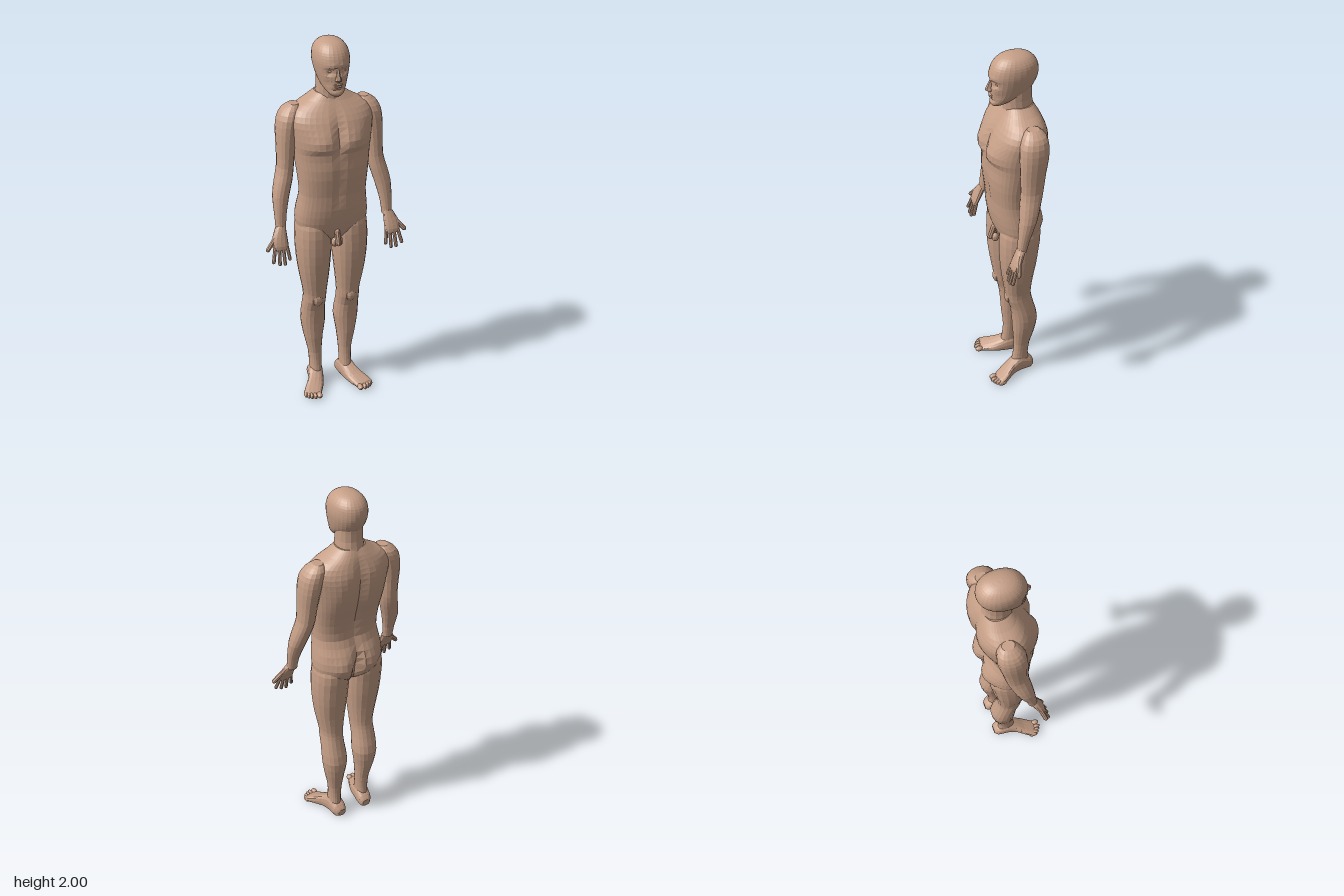
import * as THREE from 'three';

const skin = new THREE.MeshStandardMaterial({ color: 0xc69f87, flatShading: true });
skin.name = 'skin';

const bump = (d, w) => Math.exp(-(d * d) / (w * w));
const spow = (v, p) => Math.sign(v) * Math.pow(Math.abs(v), p);

// Smooth interpolation of the cross-section table
function resample(rows, steps) {
  const out = [];
  const at = i => rows[Math.max(0, Math.min(rows.length - 1, i))];
  for (let i = 0; i < rows.length - 1; i++) {
    for (let s = 0; s < steps; s++) {
      const t = s / steps;
      out.push(rows[i].map((b, k) => {
        const a = at(i - 1)[k], c = at(i + 1)[k], d = at(i + 2)[k];
        return b + 0.5 * t * (c - a + t * (2 * a - 5 * b + 4 * c - d + t * (3 * (b - c) + d - a)));
      }));
    }
  }
  out.push(rows[rows.length - 1]);
  return out;
}

// Closed body from rows [y, centre x, half width, front z, back z], bottom to top
function loft(rows, { side = 1, n = 16, steps = 2, power = 2.2, shape } = {}) {
  const rings = resample(rows, steps), pos = [], idx = [];
  for (const [y, cx, rx, zf, zb] of rings) {
    for (let j = 0; j < n; j++) {
      const a = (j / n) * Math.PI * 2;
      const p = new THREE.Vector3(
        side * cx + rx * spow(Math.cos(a), 2 / power), y,
        (zf + zb) / 2 + ((zf - zb) / 2) * spow(Math.sin(a), 2 / power));
      if (shape) shape(p, Math.sin(a));
      pos.push(p.x, p.y, p.z);
    }
  }
  for (let i = 0; i < rings.length - 1; i++) {
    for (let j = 0; j < n; j++) {
      const a = i * n + j, b = i * n + (j + 1) % n;
      idx.push(a, a + n, b, b, a + n, b + n);
    }
  }
  // End caps
  const top = (rings.length - 1) * n, c = rings.length * n;
  for (const r of [rings[0], rings[rings.length - 1]]) pos.push(side * r[1], r[0], (r[3] + r[4]) / 2);
  for (let j = 0; j < n; j++) {
    const k = (j + 1) % n;
    idx.push(c, j, k, c + 1, top + k, top + j);
  }
  const g = new THREE.BufferGeometry();
  g.setAttribute('position', new THREE.Float32BufferAttribute(pos, 3));
  g.setIndex(idx);
  g.computeVertexNormals();
  return g;
}

function add(parent, name, geometry) {
  const m = new THREE.Mesh(geometry, skin);
  m.name = name;
  parent.add(m);
  return m;
}

function ball(parent, name, p, r) {
  const m = add(parent, name, new THREE.SphereGeometry(1, 10, 8));
  m.position.set(...p);
  m.scale.set(...r);
  return m;
}

// Rounded rod between two points
function rod(parent, name, a, b, r) {
  const A = new THREE.Vector3(...a), B = new THREE.Vector3(...b), d = B.clone().sub(A);
  const m = add(parent, name, new THREE.CapsuleGeometry(r, d.length(), 3, 8));
  m.position.copy(A).add(B).multiplyScalar(0.5);
  m.quaternion.setFromUnitVectors(new THREE.Vector3(0, 1, 0), d.normalize());
  return m;
}

// Chest, belly, spine and seat relief
function torsoShape(p, s) {
  const x = Math.abs(p.x), y = p.y;
  if (s > 0.05) {
    p.z += 0.016 * bump(x - 0.085, 0.07) * bump(y - 1.5, 0.055);
    p.z -= 0.012 * bump(x - 0.09, 0.09) * bump(y - 1.425, 0.025);
    p.z -= 0.016 * bump(x, 0.02) * bump(y - 1.53, 0.1);
    p.z -= 0.006 * bump(x, 0.02) * bump(y - 1.25, 0.12);
  } else if (s < -0.05) {
    p.z += 0.022 * bump(x, 0.03) * bump(y - 1.42, 0.23);
    p.z -= 0.008 * bump(x - 0.1, 0.06) * bump(y - 1.55, 0.1);
    p.z -= 0.022 * bump(x - 0.085, 0.06) * bump(y - 1.045, 0.07);
    p.z += 0.035 * bump(x, 0.02) * bump(y - 1.02, 0.08);
  }
}

// Eye sockets, brow, cheeks and mouth
function faceShape(p, s) {
  if (s < 0.2) return;
  const x = Math.abs(p.x), y = p.y;
  p.z -= 0.016 * bump(x - 0.034, 0.02) * bump(y - 1.862, 0.016);
  p.z += 0.005 * bump(x - 0.03, 0.03) * bump(y - 1.888, 0.012);
  p.z -= 0.008 * bump(x - 0.05, 0.02) * bump(y - 1.795, 0.025);
  p.z -= 0.007 * bump(x, 0.04) * bump(y - 1.768, 0.01);
}

export function createModel() {
  const body = new THREE.Group();
  body.name = 'body';

  add(body, 'torso', loft([
    [0.91, 0, 0.04, 0.03, -0.05], [0.935, 0, 0.11, 0.06, -0.09], [0.97, 0, 0.175, 0.08, -0.12],
    [1.04, 0, 0.193, 0.1, -0.138], [1.12, 0, 0.186, 0.112, -0.13], [1.2, 0, 0.176, 0.116, -0.102],
    [1.3, 0, 0.184, 0.128, -0.115], [1.4, 0, 0.195, 0.132, -0.145], [1.47, 0, 0.203, 0.135, -0.16],
    [1.54, 0, 0.212, 0.122, -0.165], [1.6, 0, 0.218, 0.1, -0.163], [1.65, 0, 0.192, 0.068, -0.15],
    [1.69, 0, 0.125, 0.04, -0.135], [1.725, 0, 0.075, 0.02, -0.115]],
  { n: 40, power: 2.4, shape: torsoShape }));

  add(body, 'neck', loft([
    [1.62, 0, 0.09, 0.05, -0.13], [1.7, 0, 0.074, 0.034, -0.122],
    [1.76, 0, 0.067, 0.035, -0.11], [1.84, 0, 0.066, 0.03, -0.11]]));

  const head = new THREE.Group();
  head.name = 'head';
  body.add(head);
  add(head, 'skull', loft([
    [1.733, 0, 0.022, 0.09, 0.045], [1.748, 0, 0.04, 0.101, 0.01], [1.78, 0, 0.062, 0.1, -0.05],
    [1.82, 0, 0.076, 0.1, -0.108], [1.87, 0, 0.087, 0.101, -0.136], [1.91, 0, 0.09, 0.1, -0.142],
    [1.95, 0, 0.083, 0.084, -0.134], [1.98, 0, 0.062, 0.055, -0.108], [1.995, 0, 0.035, 0.02, -0.075],
    [2.0, 0, 0.012, -0.01, -0.04]],
  { n: 28, steps: 3, shape: faceShape }));
  add(head, 'nose', loft([
    [1.813, 0, 0.01, 0.108, 0.08], [1.82, 0, 0.018, 0.122, 0.08],
    [1.832, 0, 0.012, 0.125, 0.08], [1.875, 0, 0.007, 0.102, 0.08]], { n: 8, power: 2 }));
  ball(head, 'upperLip', [0, 1.796, 0.098], [0.024, 0.005, 0.01]);
  ball(head, 'lowerLip', [0, 1.785, 0.098], [0.019, 0.005, 0.009]);

  for (const side of [1, -1]) {
    const label = side > 0 ? 'left' : 'right';
    ball(head, label + 'Eye', [side * 0.034, 1.862, 0.073], [0.014, 0.008, 0.012]);

    const arm = new THREE.Group();
    arm.name = label + 'Arm';
    body.add(arm);
    add(arm, label + 'ArmLimb', loft([
      [1.03, 0.29, 0.027, 0.067, 0.017], [1.1, 0.288, 0.031, 0.06, 0], [1.2, 0.277, 0.043, 0.05, -0.04],
      [1.28, 0.257, 0.046, 0.04, -0.066], [1.35, 0.242, 0.043, 0.03, -0.085], [1.45, 0.235, 0.047, 0.03, -0.1],
      [1.53, 0.229, 0.053, 0.03, -0.115], [1.6, 0.216, 0.058, 0.025, -0.12], [1.645, 0.2, 0.05, 0.005, -0.112],
      [1.672, 0.185, 0.025, -0.02, -0.085]], { side }));

    // Hand with the palm forward and thumb outward
    const hand = new THREE.Group();
    hand.name = label + 'Hand';
    arm.add(hand);
    add(hand, 'palm', loft([
      [0.932, 0.302, 0.036, 0.104, 0.082], [0.955, 0.307, 0.043, 0.103, 0.07],
      [1.0, 0.304, 0.039, 0.088, 0.045], [1.05, 0.291, 0.024, 0.067, 0.02]], { side, n: 12 }));
    const fingers = [[0.337, 0.352, 0.878, 0.112], [0.315, 0.32, 0.862, 0.115],
      [0.293, 0.292, 0.86, 0.115], [0.273, 0.264, 0.882, 0.108]];
    for (const [x0, x1, y, z] of fingers)
      rod(hand, 'finger', [side * x0, 0.945, 0.09], [side * x1, y, z], 0.0095);
    rod(hand, 'thumb', [side * 0.325, 1.0, 0.068], [side * 0.374, 0.942, 0.088], 0.012);

    const leg = new THREE.Group();
    leg.name = label + 'Leg';
    body.add(leg);
    add(leg, label + 'LegLimb', loft([
      [0.06, 0.088, 0.034, 0.025, -0.08], [0.12, 0.087, 0.033, 0.012, -0.075], [0.2, 0.088, 0.037, 0.006, -0.082],
      [0.3, 0.094, 0.052, 0.014, -0.106], [0.4, 0.094, 0.067, 0.02, -0.12], [0.49, 0.096, 0.063, 0.032, -0.1],
      [0.55, 0.095, 0.061, 0.054, -0.086], [0.6, 0.094, 0.063, 0.06, -0.082], [0.7, 0.098, 0.078, 0.075, -0.09],
      [0.8, 0.1, 0.09, 0.086, -0.106], [0.9, 0.1, 0.096, 0.09, -0.118], [1.0, 0.098, 0.095, 0.085, -0.128],
      [1.08, 0.095, 0.08, 0.06, -0.1]], { side, n: 18 }));
    ball(leg, 'kneecap', [side * 0.094, 0.565, 0.04], [0.032, 0.04, 0.024]);

    // Foot lofted from heel to toes, then laid forward
    const foot = loft([
      [-0.106, 0.08, 0.022, -0.012, -0.05], [-0.085, 0.083, 0.038, 0, -0.075], [-0.03, 0.088, 0.042, 0, -0.11],
      [0.02, 0.1, 0.044, 0, -0.088], [0.07, 0.125, 0.053, 0, -0.056], [0.11, 0.146, 0.053, 0, -0.036],
      [0.132, 0.147, 0.043, -0.003, -0.025]], { side, power: 2.6 });
    foot.rotateX(Math.PI / 2);
    add(leg, label + 'Foot', foot);
    [[0.119, 0.142, 0.016], [0.144, 0.143, 0.011], [0.162, 0.135, 0.01], [0.177, 0.125, 0.01], [0.189, 0.112, 0.009]]
      .forEach(([x, z, r]) => ball(leg, 'toe', [side * x, 0.016, z], [r, 0.015, 0.024]));

    ball(body, 'groinSide', [side * 0.013, 0.925, 0.085], [0.018, 0.026, 0.02]);
  }
  rod(body, 'groinFront', [0, 0.985, 0.088], [0, 0.925, 0.108], 0.015);
  return body;
}
